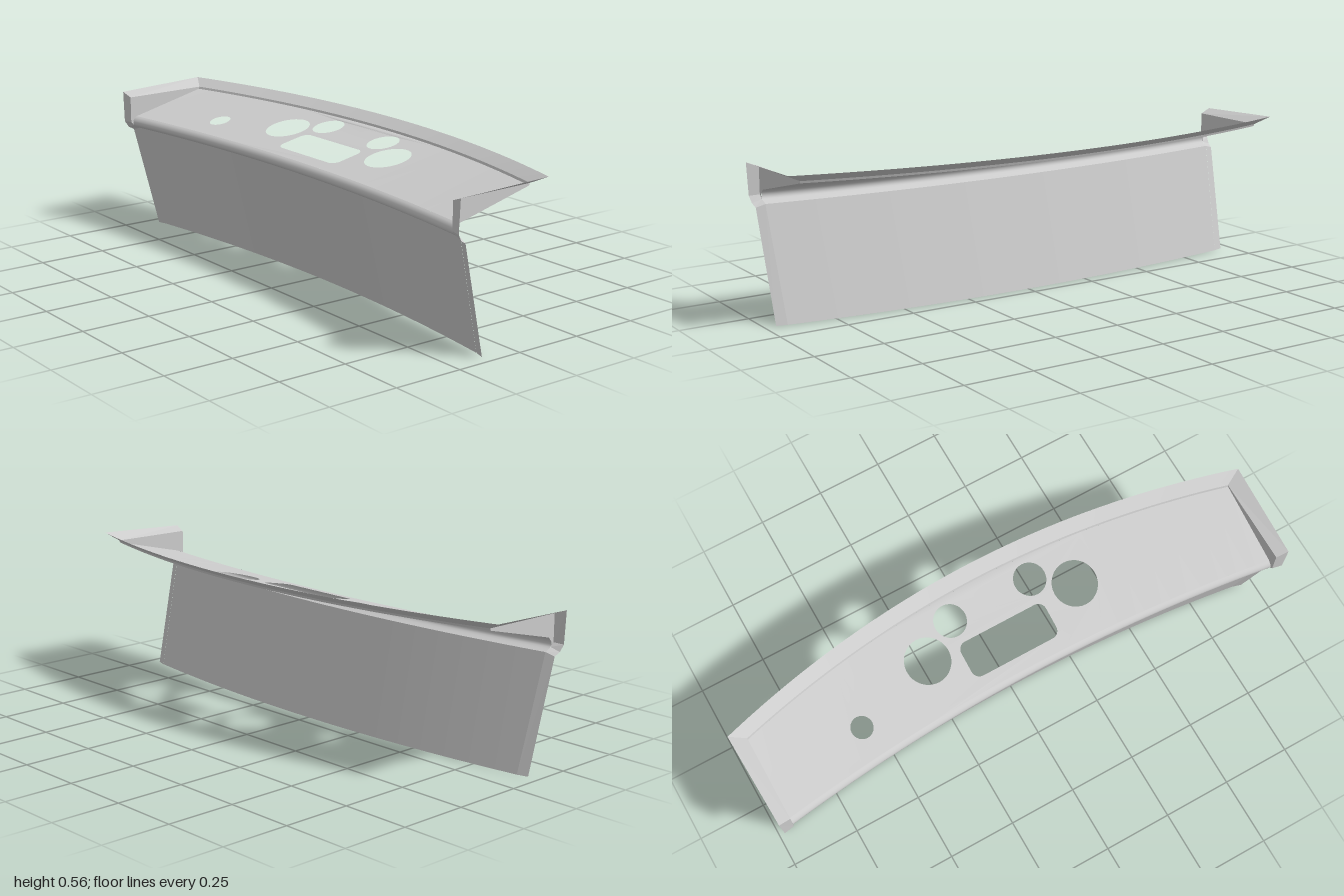
import * as THREE from 'three';
import { mergeGeometries, mergeVertices } from 'three/addons/utils/BufferGeometryUtils.js';

const mat = new THREE.MeshStandardMaterial({ color: 0xcccccc, side: THREE.DoubleSide });
const HALF = 0.945; // half width of the shelf
const SEG = 40;

// bowed plan curves: everything sweeps forward towards the ends
const bow = (x) => 0.07 * (x / HALF) ** 2;
const shelfFront = (x) => 0.148 + bow(x);
const shelfBack = (x) => -0.2 + 0.13 * (x / HALF) ** 2;
const shelfY = (x, z) => 0.447 + 0.073 * (shelfFront(x) - z) / (shelfFront(x) - shelfBack(x));

// surface through rows of [x, y, z] points
function gridGeometry(rows, flat = false) {
  const n = rows[0].length, index = [];
  for (let i = 0; i < rows.length - 1; i++) {
    for (let j = 0; j < n - 1; j++) {
      const a = i * n + j, b = a + 1, c = a + n, d = c + 1;
      index.push(a, b, d, a, d, c);
    }
  }
  let g = new THREE.BufferGeometry();
  g.setAttribute('position', new THREE.Float32BufferAttribute(rows.flat(2), 3));
  g.setIndex(index);
  if (flat) g = g.toNonIndexed();
  g.computeVertexNormals();
  return g;
}

// row across the full width; fn maps -1..1 to a point
const row = (fn) => Array.from({ length: SEG + 1 }, (_, j) => fn(-1 + 2 * j / SEG));

// row of the front panel for a profile point at the centre line
const panelRow = ([y, z]) => row((u) => {
  const x = u * (0.92 + 0.05 * Math.min(y, 0.447) * 1.1);
  return [x, y, z + bow(x)];
});

function circle(x, z, r) {
  return new THREE.Path().absarc(x, -z, r, 0, Math.PI * 2, true);
}

function roundedSlot(x0, x1, z0, z1, r) {
  const p = new THREE.Path();
  p.absarc(x1 - r, -z0 - r, r, 0, Math.PI / 2);
  p.absarc(x0 + r, -z0 - r, r, Math.PI / 2, Math.PI);
  p.absarc(x0 + r, -z1 + r, r, Math.PI, Math.PI * 1.5);
  p.absarc(x1 - r, -z1 + r, r, Math.PI * 1.5, Math.PI * 2);
  return p;
}

// shelf cut into bands across x, so each band follows the twist of the surface
function shelfGeometry() {
  const holes = [
    circle(-0.285, -0.03, 0.081), circle(0.297, -0.03, 0.081),
    circle(-0.15, -0.115, 0.058), circle(0.165, -0.115, 0.058),
    roundedSlot(-0.17, 0.165, -0.03, 0.1, 0.03),
  ];
  const smallHole = circle(-0.59, 0.065, 0.039);
  const breaks = [-HALF, -0.85, -0.75, -0.65, -0.53, -0.4, 0.4, 0.5, 0.6, 0.7, 0.8, 0.88, HALF];
  const bands = [];
  for (let k = 0; k < breaks.length - 1; k++) {
    const a = breaks[k], b = breaks[k + 1], n = Math.ceil((b - a) / 0.05);
    const xs = Array.from({ length: n + 1 }, (_, i) => a + (b - a) * i / n);
    const shape = new THREE.Shape([
      ...xs.map((x) => new THREE.Vector2(x, -shelfFront(x))),
      ...xs.reverse().map((x) => new THREE.Vector2(x, -shelfBack(x))),
    ]);
    if (a === -0.4) shape.holes.push(...holes);
    if (a === -0.65) shape.holes.push(smallHole);
    bands.push(new THREE.ShapeGeometry(shape, 16));
  }
  let g = mergeGeometries(bands);
  const p = g.attributes.position;
  for (let i = 0; i < p.count; i++) {
    const x = p.getX(i), z = -p.getY(i);
    p.setXYZ(i, x, shelfY(x, z), z);
  }
  g.deleteAttribute('uv');
  g.deleteAttribute('normal');
  g = mergeVertices(g, 1e-5);
  g.computeVertexNormals();
  return g;
}

export function createModel() {
  const group = new THREE.Group();
  const add = (name, geometry) => {
    const m = new THREE.Mesh(geometry, mat);
    m.name = name;
    group.add(m);
  };

  // sloping front panel and the rolled edge above it
  add('frontPanel', gridGeometry([[0, 0.045], [0.4, 0.138]].map(panelRow)));
  const roll = new THREE.SplineCurve([[0.4, 0.138], [0.413, 0.161], [0.427, 0.165], [0.44, 0.158], [0.447, 0.148]]
    .map(([y, z]) => new THREE.Vector2(y, z)));
  add('rolledEdge', gridGeometry(roll.getPoints(12).map((p) => panelRow([p.x, p.y]))));

  // top shelf with round and slotted openings
  add('shelf', shelfGeometry());

  // rear lip: short riser, then flared rim
  const riser = (dy, dz) => row((u) => [u * HALF, 0.52 + dy, shelfBack(u * HALF) + dz]);
  add('rearRiser', gridGeometry([riser(0, 0), riser(0.008, -0.003)]));
  add('rearRim', gridGeometry([riser(0.008, -0.003), row((u) => [u, 0.555, -0.25 + 0.15 * u * u])]));

  // end cheeks with an outward flange running from the rim down the front panel
  const inner = [[HALF, 0.52, -0.07], [HALF, 0.447, 0.218], [HALF, 0.427, 0.235],
    [0.943, 0.413, 0.231], [0.942, 0.4, 0.207], [0.92, 0, 0.111]];
  const crease = [[HALF, 0.528, -0.073], [HALF, 0.524, 0.243], [HALF, 0.427, 0.243], ...inner.slice(3)];
  const outer = [[1, 0.555, -0.1], [0.988, 0.54, 0.25], [0.982, 0.425, 0.25],
    [0.978, 0.402, 0.236], [0.974, 0.39, 0.215], [0.958, 0, 0.122]];
  for (const [side, s] of [['left', 1], ['right', -1]]) {
    const place = (pts) => {
      const r = pts.map(([x, y, z]) => [s * x, y, z]);
      return s > 0 ? r : r.reverse();
    };
    add(side + 'Cheek', gridGeometry([inner.slice(0, 4), crease.slice(0, 4)].map(place), true));
    add(side + 'Flange', gridGeometry([crease, outer].map(place), true));
  }
  return group;
}
